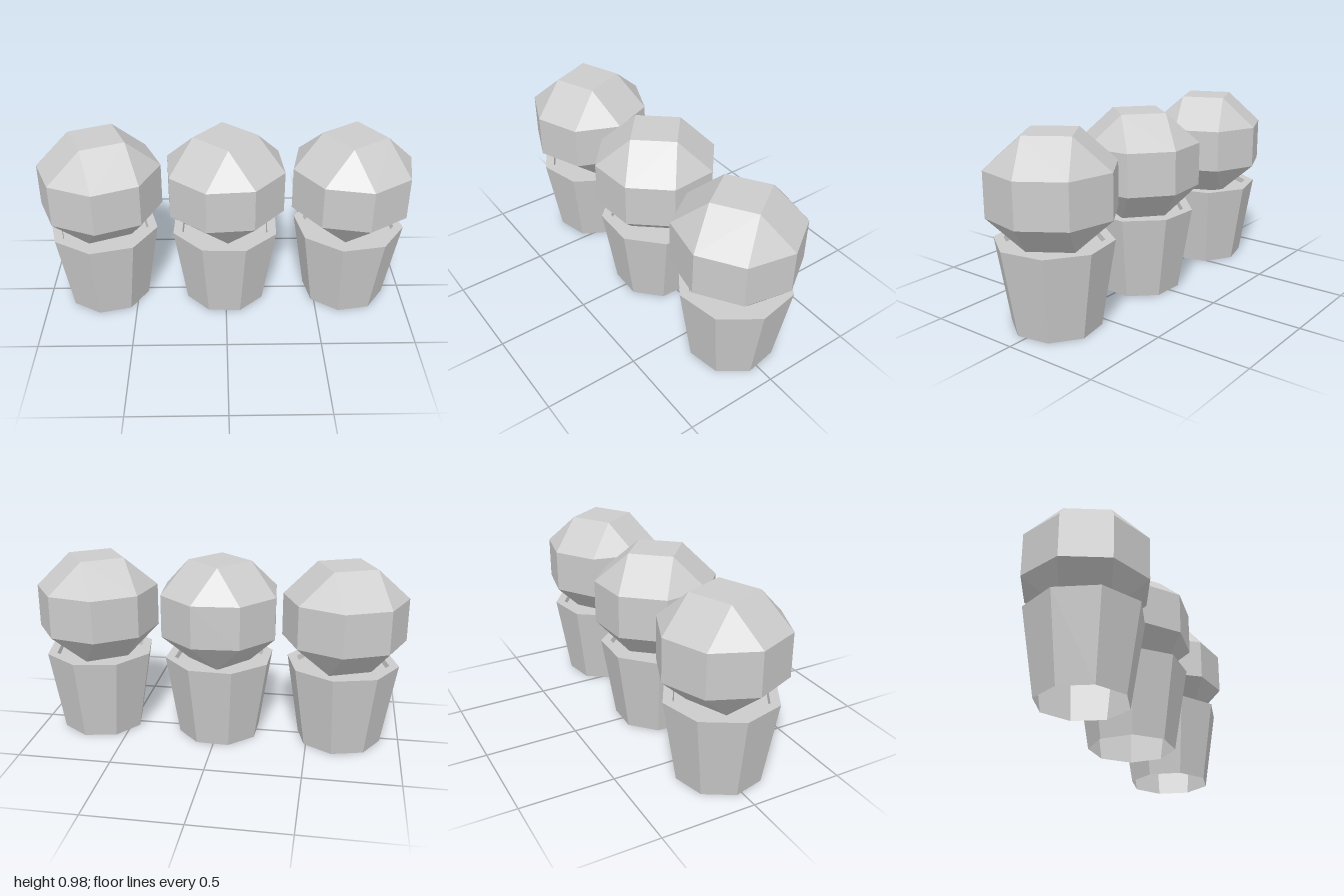
import * as THREE from 'three';
import { ConvexGeometry } from 'three/addons/geometries/ConvexGeometry.js';

const rad = THREE.MathUtils.degToRad;
const material = new THREE.MeshStandardMaterial({ color: 0xcccccc, flatShading: true, side: THREE.DoubleSide });

// Points of a regular polygon lying level at height y
function ring(count, radius, y, startDeg) {
  return Array.from({ length: count }, (_, i) => {
    const a = rad(startDeg) + (i / count) * Math.PI * 2;
    return new THREE.Vector3(Math.sin(a) * radius, y, Math.cos(a) * radius);
  });
}

// Faceted bush: two octagon rings between a square top and a square base
function bushGeometry() {
  return new ConvexGeometry([
    ...ring(4, 0.168, 0.98, 0),
    ...ring(8, 0.328, 0.815, 22.5),
    ...ring(8, 0.328, 0.585, 22.5),
    ...ring(4, 0.168, 0.42, 0),
  ]);
}

// Eight-sided tapered pot, open below, with a flat rim and sunken soil
function potGeometry() {
  const profile = [[0.228, 0], [0.301, 0.45], [0.25, 0.45], [0.245, 0.42], [0, 0.42]];
  return new THREE.LatheGeometry(profile.map(([r, y]) => new THREE.Vector2(r, y)), 8);
}

export function createModel() {
  const model = new THREE.Group();
  model.name = 'pottedBushes';
  const bush = bushGeometry();
  const pot = potGeometry();

  // Each plant is turned a little differently
  const plants = [
    { name: 'rightPlant', x: -0.672, bushTurn: -22.5, potTurn: -8 },
    { name: 'middlePlant', x: -0.003, bushTurn: 4.5, potTurn: 20.5 },
    { name: 'leftPlant', x: 0.676, bushTurn: -11.5, potTurn: -12.5 },
  ];
  for (const { name, x, bushTurn, potTurn } of plants) {
    const plant = new THREE.Group();
    plant.name = name;
    plant.position.x = x;
    for (const [part, geometry, turn] of [['bush', bush, bushTurn], ['pot', pot, potTurn]]) {
      const mesh = new THREE.Mesh(geometry, material);
      mesh.name = part;
      mesh.rotation.y = rad(turn);
      plant.add(mesh);
    }
    model.add(plant);
  }
  return model;
}
